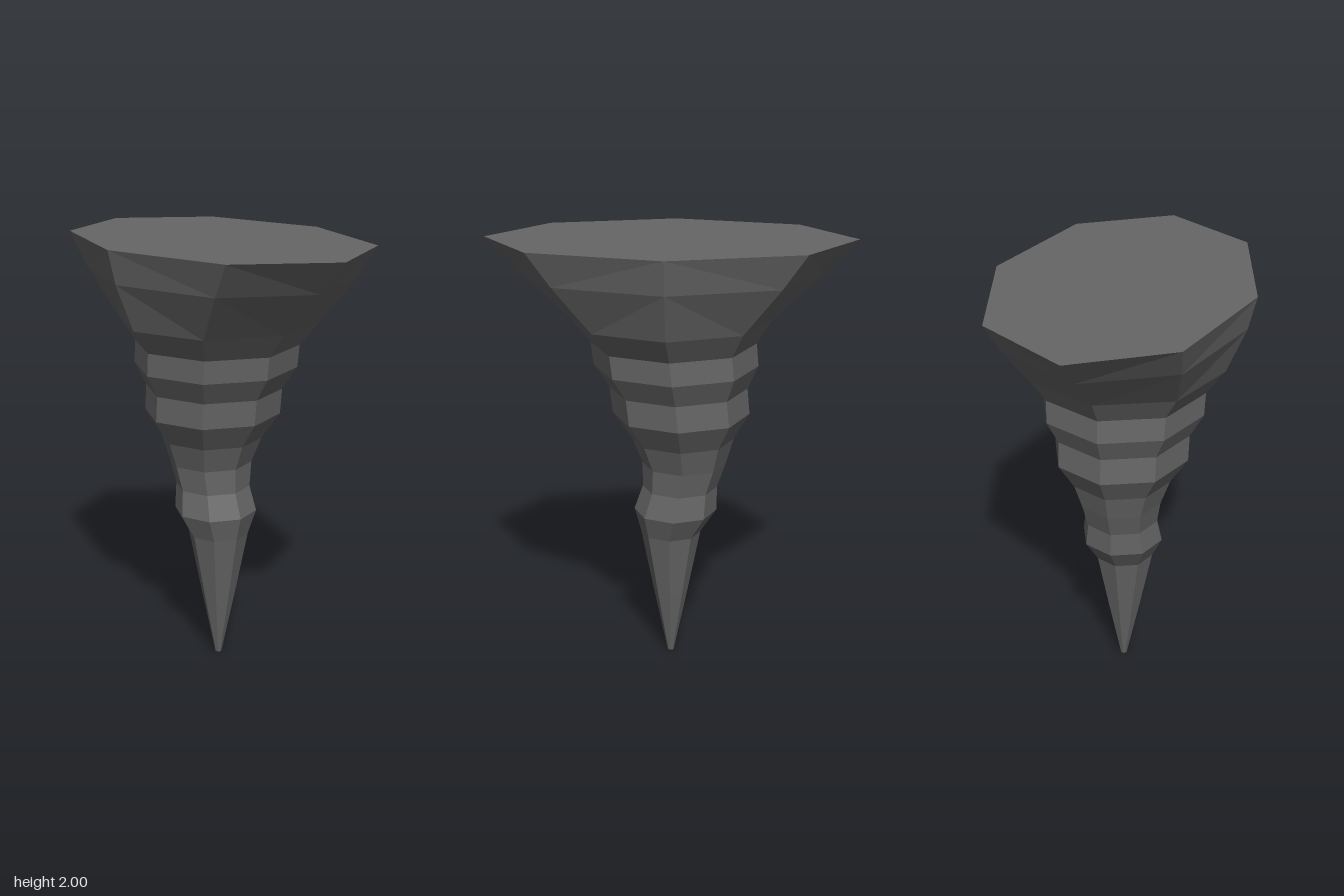
import * as THREE from 'three';

const SIDES = 8;

// Cross-sections from tip to root: height, x offset, x radius, z radius
const RINGS = [
  [0, 0, 0.015, 0.015],
  [0.32, 0, 0.081, 0.081],
  [0.62, 0, 0.14, 0.14],
  [0.73, -0.022, 0.192, 0.192],
  [0.845, -0.043, 0.173, 0.173],
  [0.96, -0.062, 0.193, 0.193],
  [1.08, -0.055, 0.235, 0.235],
  [1.2, -0.047, 0.313, 0.313],
  [1.32, -0.035, 0.314, 0.314],
  [1.425, -0.023, 0.373, 0.373],
  [1.53, -0.012, 0.375, 0.375],
  [1.64, 0, 0.455, 0.455],
  [1.85, 0, 0.68, 0.54],
  [2, 0, 0.825, 0.575],
];

function createSpikeGeometry() {
  const positions = [];
  const index = [];
  for (const [y, cx, rx, rz] of RINGS) {
    for (let j = 0; j < SIDES; j++) {
      const a = (j / SIDES) * Math.PI * 2;
      positions.push(cx + rx * Math.cos(a), y, rz * Math.sin(a));
    }
  }

  // Side bands, with diagonals mirrored between quadrants
  for (let i = 0; i < RINGS.length - 1; i++) {
    for (let j = 0; j < SIDES; j++) {
      const next = (j + 1) % SIDES;
      const a = i * SIDES + j;
      const b = i * SIDES + next;
      const c = a + SIDES;
      const d = b + SIDES;
      if (Math.floor(j / 2) % 2 === 0) index.push(a, c, d, a, d, b);
      else index.push(a, c, b, b, c, d);
    }
  }

  // Flat root on top and blunt tip below
  const top = (RINGS.length - 1) * SIDES;
  for (let j = 1; j < SIDES - 1; j++) {
    index.push(top, top + j + 1, top + j);
    index.push(0, j, j + 1);
  }

  const geometry = new THREE.BufferGeometry();
  geometry.setAttribute('position', new THREE.Float32BufferAttribute(positions, 3));
  geometry.setIndex(index);
  const faceted = geometry.toNonIndexed();
  faceted.computeVertexNormals();
  return faceted;
}

export function createModel() {
  const group = new THREE.Group();
  group.name = 'stalactite';
  const stone = new THREE.MeshStandardMaterial({ color: 0x666666, flatShading: true });
  const spike = new THREE.Mesh(createSpikeGeometry(), stone);
  spike.name = 'rockSpike';
  group.add(spike);
  return group;
}
